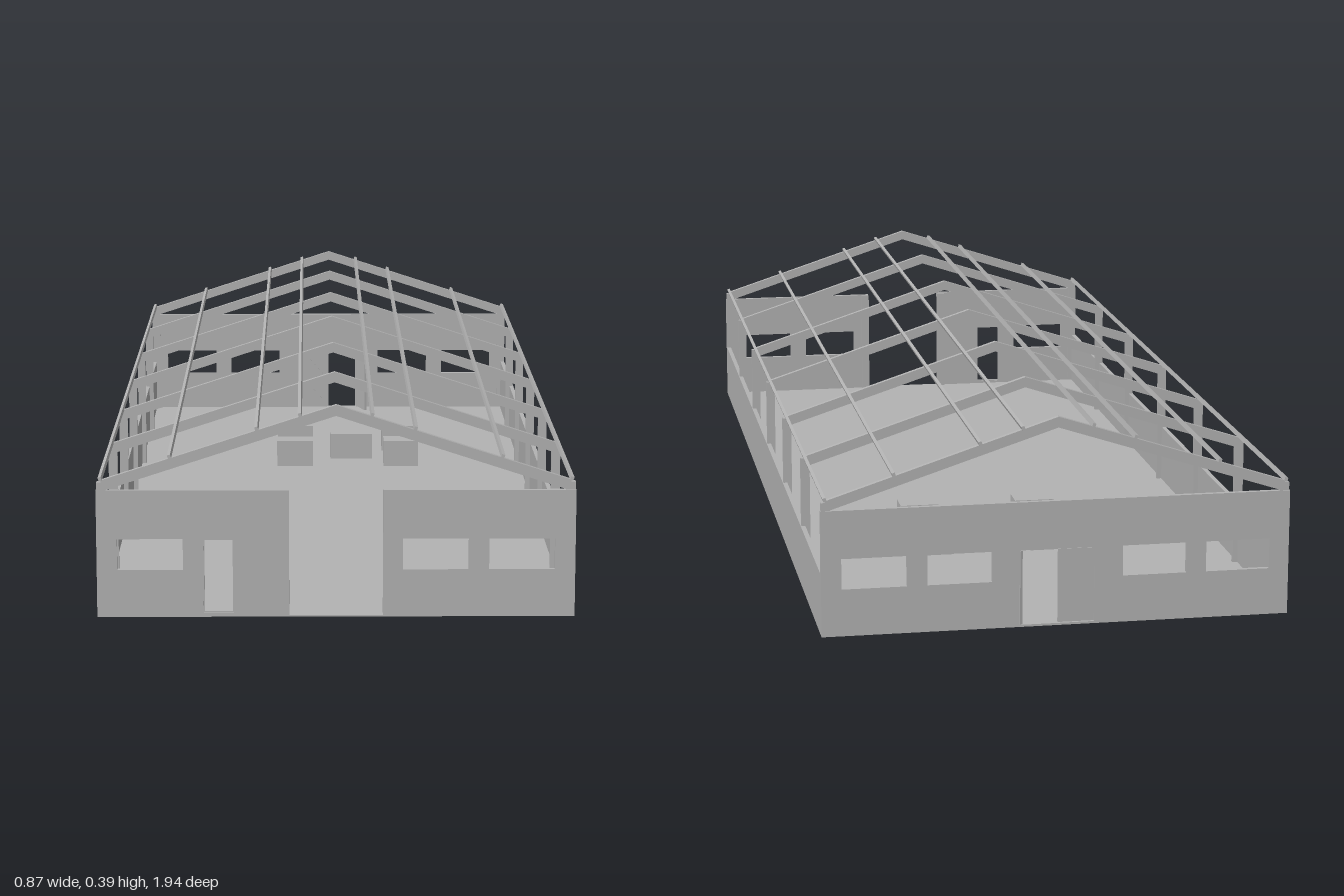
import * as THREE from 'three';

const grey = new THREE.MeshStandardMaterial({ color: 0xb2b2b2 });
grey.name = 'grey';
const greyOpen = grey; // one colour for the whole structure
greyOpen.side = THREE.DoubleSide;

const HALF = 0.433, FRONT = 1, BACK = -0.935;
const WALL_TOP = 0.235, SIDE_TOP = 0.117, THICK = 0.009;
const LENGTH = FRONT - BACK, MID = (FRONT + BACK) / 2;

function add(parent, name, geometry, x = 0, y = 0, z = 0) {
  const mesh = new THREE.Mesh(geometry, grey);
  mesh.name = name;
  mesh.position.set(x, y, z);
  parent.add(mesh);
  return mesh;
}

// Box given by its extents
function block(parent, name, x0, x1, y0, y1, z0, z1) {
  return add(parent, name, new THREE.BoxGeometry(x1 - x0, y1 - y0, z1 - z0),
    (x0 + x1) / 2, (y0 + y1) / 2, (z0 + z1) / 2);
}

function rect(Type, x0, x1, y0, y1) {
  return new Type([[x0, y0], [x1, y0], [x1, y1], [x0, y1]].map(p => new THREE.Vector2(...p)));
}

// Plate with rectangular holes, extruded along +z
function plate(outline, holes, depth) {
  const shape = rect(THREE.Shape, ...outline);
  holes.forEach(h => shape.holes.push(rect(THREE.Path, ...h)));
  return new THREE.ExtrudeGeometry(shape, { depth, bevelEnabled: false });
}

// Door leaf: outer skin, raised rails and two diagonal braces; hinge at x = 0, leaf runs to +x
function doorLeaf(name, w, h) {
  const leaf = new THREE.Group();
  leaf.name = name;
  block(leaf, 'leafSkin', 0, w, 0, h, 0, 0.002);
  const mid = h * 0.49, r = 0.008;
  const panels = [[r, w - r, r, mid - r / 2], [r, w - r, mid + r / 2, h - r]];
  add(leaf, 'leafRails', plate([0, w, 0, h], panels, 0.003), 0, 0, 0.002);
  panels.forEach(([x0, x1, y0, y1]) => {
    const dx = x1 - x0, dy = y1 - y0;
    const brace = add(leaf, 'leafBrace', new THREE.BoxGeometry(Math.hypot(dx, dy) - 0.004, 0.004, 0.002),
      (x0 + x1) / 2, (y0 + y1) / 2, 0.003);
    brace.rotation.z = -Math.atan2(dy, dx);
  });
  return leaf;
}

export function createModel() {
  const model = new THREE.Group();
  model.name = 'hallFrame';

  // Equipment blocks on the floor, open underneath
  const blocks = [[-0.08, -0.44, 0.08], [0.157, -0.44, 0.077], [-0.08, -0.275, 0.08],
    [0.157, -0.275, 0.077], [0.047, -0.36, 0.095]];
  const depthOf = w => (w > 0.09 ? 0.07 : 0.053);
  const pits = blocks.map(([x, z, w]) => {
    const d = depthOf(w);
    return [x - w / 2, x + w / 2, -z - d / 2, -z + d / 2];
  });
  const floor = add(model, 'floor', plate([-HALF, HALF, -FRONT, -BACK], pits, 0.003));
  floor.rotation.x = -Math.PI / 2;
  blocks.forEach(([x, z, w]) => {
    const geometry = new THREE.BoxGeometry(w, 0.06, depthOf(w));
    const index = Array.from(geometry.index.array);
    index.splice(18, 6); // remove the underside
    geometry.setIndex(index);
    geometry.clearGroups();
    add(model, 'floorBlock', geometry, x, 0.03, z);
  });

  // Low side walls
  for (const s of [-1, 1]) {
    add(model, 'sideWall', new THREE.BoxGeometry(THICK, SIDE_TOP, LENGTH),
      s * (HALF - THICK / 2), SIDE_TOP / 2, MID);
  }

  // Front wall in two halves beside the wide gateway
  const y0 = 0.088, y1 = 0.145;
  const outer = [0.277, 0.396, y0, y1], inner = [0.121, 0.24, y0, y1];
  const flip = ([a, b, c, d]) => [-b, -a, c, d];
  const frontDoor = [-0.24, -0.185, 0.008, y1];
  add(model, 'frontWallLeft', plate([0.085, HALF, 0, WALL_TOP], [outer, inner], THICK), 0, 0, FRONT - THICK);
  add(model, 'frontWallRight', plate([-HALF, -0.085, 0, WALL_TOP], [flip(outer), frontDoor], THICK),
    0, 0, FRONT - THICK);
  add(model, 'frontDoorFrame', plate([-0.241, -0.184, 0.007, y1 + 0.001], [[-0.238, -0.187, 0.01, y1 - 0.002]], 0.006),
    0, 0, FRONT - 0.008);
  for (const s of [-1, 1]) {
    block(model, 'gatePost', s * 0.0935 - 0.0085, s * 0.0935 + 0.0085, 0, 0.234, FRONT - THICK - 0.009, FRONT - THICK);
  }

  // Back wall with four windows and a double door
  const doorHalf = 0.068;
  add(model, 'backWall', plate([-HALF, HALF, 0, WALL_TOP],
    [outer, inner, flip(outer), flip(inner), [-doorHalf, doorHalf, 0.004, y1]], THICK), 0, 0, BACK);
  const closed = doorLeaf('closedDoorLeaf', doorHalf - 0.001, y1 - 0.006);
  closed.position.set(-doorHalf, 0.005, BACK + 0.002);
  model.add(closed);
  const open = doorLeaf('openDoorLeaf', doorHalf - 0.001, y1 - 0.006);
  open.children.forEach(m => { // mirrored so the hinge is on the other jamb
    m.position.x = m.name === 'leafRails' ? -(doorHalf - 0.001) : -m.position.x;
  });
  open.position.set(doorHalf - 0.003, 0.005, BACK);
  open.rotation.y = -Math.PI * 110 / 180;
  open.rotation.y *= -1;
  model.add(open);

  // Portal frames: columns and sloping rafters
  const D = 0.01;
  const rafter = new THREE.ExtrudeGeometry(new THREE.Shape([
    [0, 0.391], [-0.425, 0.253], [-0.415, 0.236], [0, 0.371], [0.415, 0.236], [0.425, 0.253],
  ].map(p => new THREE.Vector2(...p))), { depth: D, bevelEnabled: false });
  const first = BACK + 0.007, last = FRONT - 0.007;
  for (let i = 0; i < 7; i++) {
    const z = first + (last - first) * i / 6;
    const frame = new THREE.Group();
    frame.name = 'portalFrame';
    frame.position.z = z;
    model.add(frame);
    add(frame, 'rafters', rafter, 0, 0, -D / 2);
    for (const s of [-1, 1]) {
      const x = s * 0.423;
      block(frame, 'column', x - 0.0085, x + 0.0085, 0, 0.25, -D / 2, D / 2);
    }
  }

  // Purlins running the whole length
  for (const [x, y] of [[0.425, 0.256], [0.3, 0.297], [0.143, 0.348], [0.065, 0.373]]) {
    for (const s of [-1, 1]) {
      const purlin = add(model, 'purlin', new THREE.BoxGeometry(0.006, 0.007, LENGTH), s * x, y, MID);
      purlin.rotation.z = -s * 0.314;
    }
  }
  return model;
}
